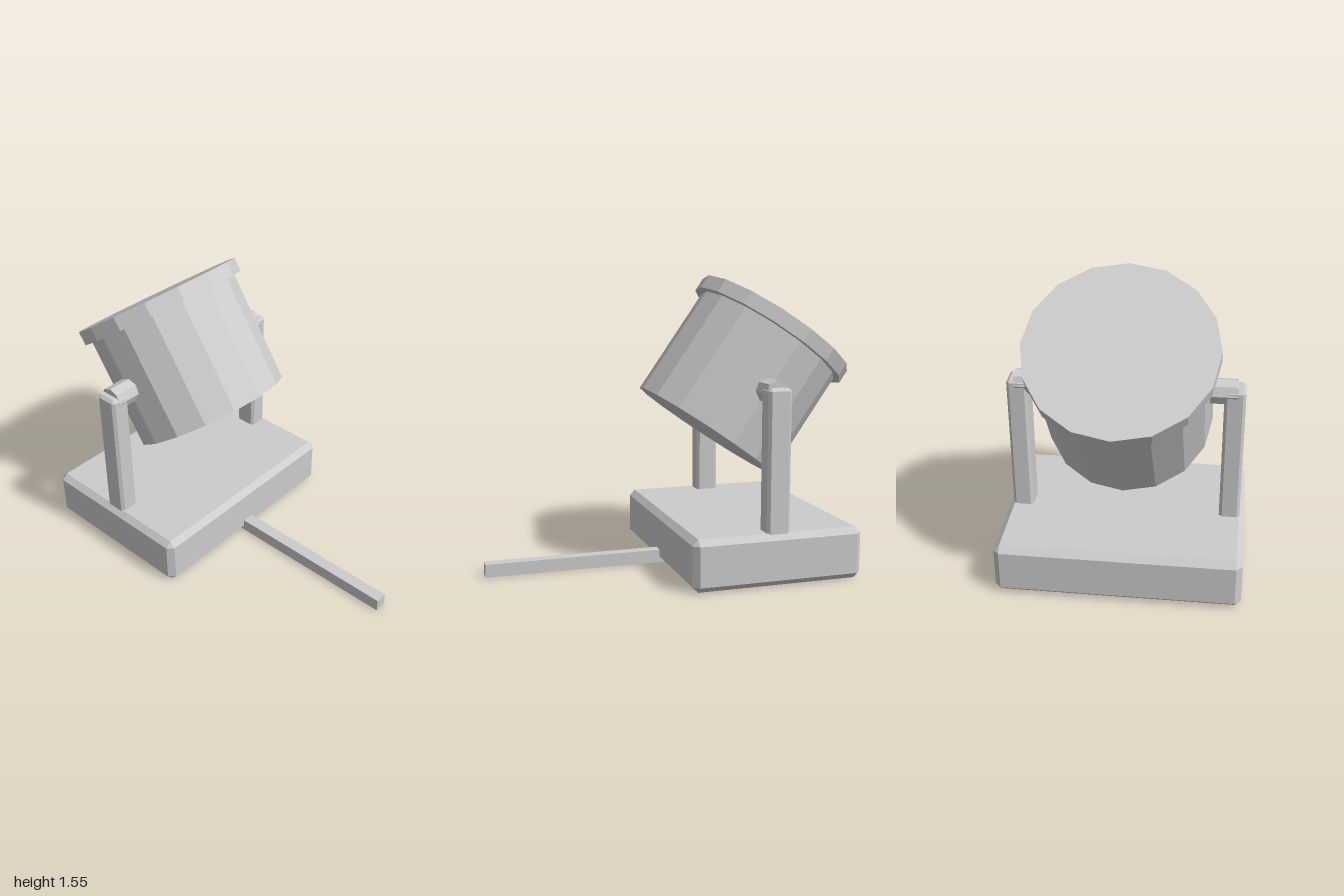
import * as THREE from 'three';
import { ConvexGeometry } from 'three/addons/geometries/ConvexGeometry.js';

const grey = new THREE.MeshStandardMaterial({ color: 0xcccccc, flatShading: true });
grey.name = 'light grey';

function addPart(parent, name, geometry, x, y, z) {
  const mesh = new THREE.Mesh(geometry, grey);
  mesh.name = name;
  mesh.position.set(x, y, z);
  parent.add(mesh);
  return mesh;
}

// Box with every edge cut at 45 degrees
function chamferBox(w, h, d, c) {
  const points = [];
  for (const sx of [-1, 1]) for (const sy of [-1, 1]) for (const sz of [-1, 1]) {
    const x = w / 2, y = h / 2, z = d / 2;
    points.push(
      new THREE.Vector3(sx * x, sy * (y - c), sz * (z - c)),
      new THREE.Vector3(sx * (x - c), sy * y, sz * (z - c)),
      new THREE.Vector3(sx * (x - c), sy * (y - c), sz * z),
    );
  }
  return new ConvexGeometry(points);
}

export function createModel() {
  const model = new THREE.Group();
  model.name = 'tiltingDrumOnStand';

  // Base slab and the bar reaching out of its front
  addPart(model, 'base', chamferBox(1.235, 0.27, 0.915, 0.031), 0, 0.135, -0.398);
  addPart(model, 'handleBar', new THREE.BoxGeometry(0.064, 0.069, 1.07), 0, 0.0345, 0.465);

  // Posts and pivots, mirrored
  for (const side of [-1, 1]) {
    const name = side > 0 ? 'left' : 'right';
    addPart(model, name + 'Post', chamferBox(0.106, 0.78, 0.125, 0.015), side * 0.539, 0.61, -0.398);
    const pivot = addPart(model, name + 'Pivot',
      new THREE.CylinderGeometry(0.066, 0.066, 0.2, 8), side * 0.452, 0.97, -0.398);
    pivot.rotation.z = Math.PI / 2;
  }

  // Tilted drum with its wider lid
  const drum = new THREE.Group();
  drum.name = 'drum';
  drum.position.set(0, 0.71, -0.213);
  drum.rotation.x = -THREE.MathUtils.degToRad(35);
  addPart(drum, 'drumBody', new THREE.CylinderGeometry(0.43, 0.43, 0.65, 16), 0, 0.325, 0);
  addPart(drum, 'drumLid', new THREE.CylinderGeometry(0.47, 0.47, 0.077, 16), 0, 0.658, 0);
  model.add(drum);

  return model;
}
